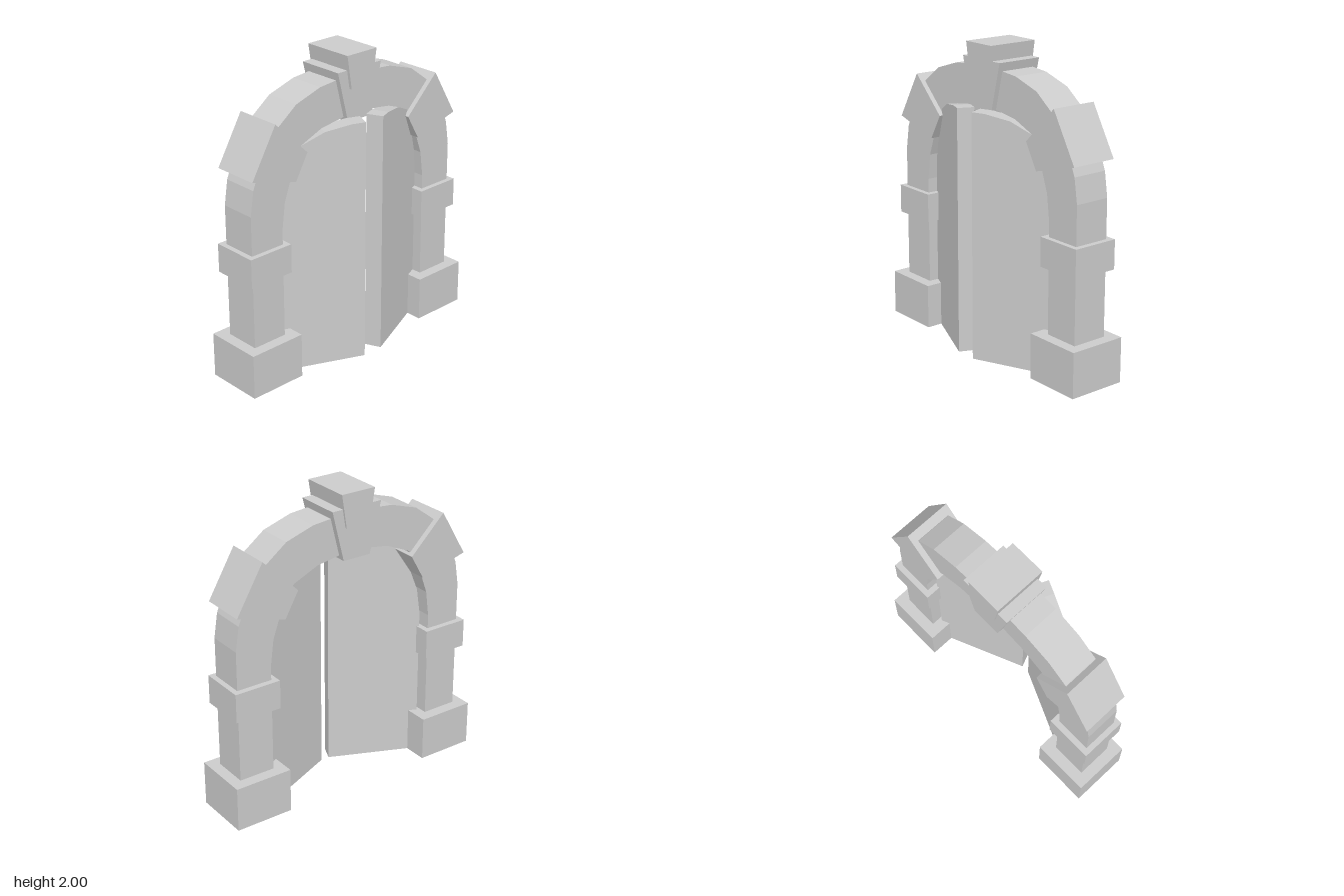
import * as THREE from 'three';

const material = new THREE.MeshStandardMaterial({ color: 0xcccccc, flatShading: true });

// Flat outline [x, y] extruded from z0 to z1
function prism(name, points, z0, z1) {
  const shape = new THREE.Shape(points.map(([x, y]) => new THREE.Vector2(x, y)));
  const geometry = new THREE.ExtrudeGeometry(shape, { depth: z1 - z0, bevelEnabled: false });
  geometry.translate(0, 0, z0);
  const mesh = new THREE.Mesh(geometry, material);
  mesh.name = name;
  return mesh;
}

const rect = (x0, x1, y0, y1) => [[x0, y0], [x1, y0], [x1, y1], [x0, y1]];
const mirror = (points) => points.map(([x, y]) => [-x, y]);

// Half profiles of the arch, from the ground up to the crown
const outer = [[0.845, 0], [0.845, 1.17], [0.82, 1.33], [0.74, 1.52], [0.62, 1.67], [0.48, 1.775], [0.29, 1.835], [0.15, 1.848]];
const inner = [[0.605, 0], [0.605, 1.01], [0.583, 1.18], [0.535, 1.315], [0.5, 1.41], [0.43, 1.5], [0.26, 1.575], [0.09, 1.602]];

export function createModel() {
  const group = new THREE.Group();
  group.name = 'archedGate';

  // Arch ring with its legs
  const outline = [...outer, ...mirror(outer).reverse(), ...mirror(inner), ...[...inner].reverse()];
  group.add(prism('arch', outline, -0.166, 0.073));

  // Keystone and its cap
  group.add(prism('keystone', [[-0.097, 1.575], [0.097, 1.575], [0.178, 1.902], [-0.178, 1.902]], -0.204, 0.106));
  group.add(prism('keystoneCap', [[-0.085, 1.783], [0.085, 1.783], [0.12, 2], [-0.12, 2]], -0.218, 0.126));

  for (const side of [1, -1]) {
    const label = side > 0 ? 'left' : 'right';
    const place = (points) => points.map(([x, y]) => [side * x, y]);

    // Stone blocks wrapped around each leg
    group.add(prism(label + 'Base', place(rect(0.53, 0.918, 0, 0.295)), -0.242, 0.145));
    group.add(prism(label + 'Band', place(rect(0.567, 0.88, 0.727, 0.916)), -0.204, 0.106));
    group.add(prism(label + 'ArchStone', place([[0.67, 1.71], [0.427, 1.472], [0.52, 1.308], [0.852, 1.4]]), -0.204, 0.106));

    // Door leaf, hinged on the leg and swung open to the front
    const leaf = [...inner, [0, 1.604], [0, 0]].map(([x, y]) => [side * (x - 0.605), y]);
    const door = prism(label + 'Door', leaf, -0.055, 0.055);
    door.position.set(side * 0.605, 0, -0.055);
    door.rotation.y = side * 0.41;
    group.add(door);
  }
  return group;
}
